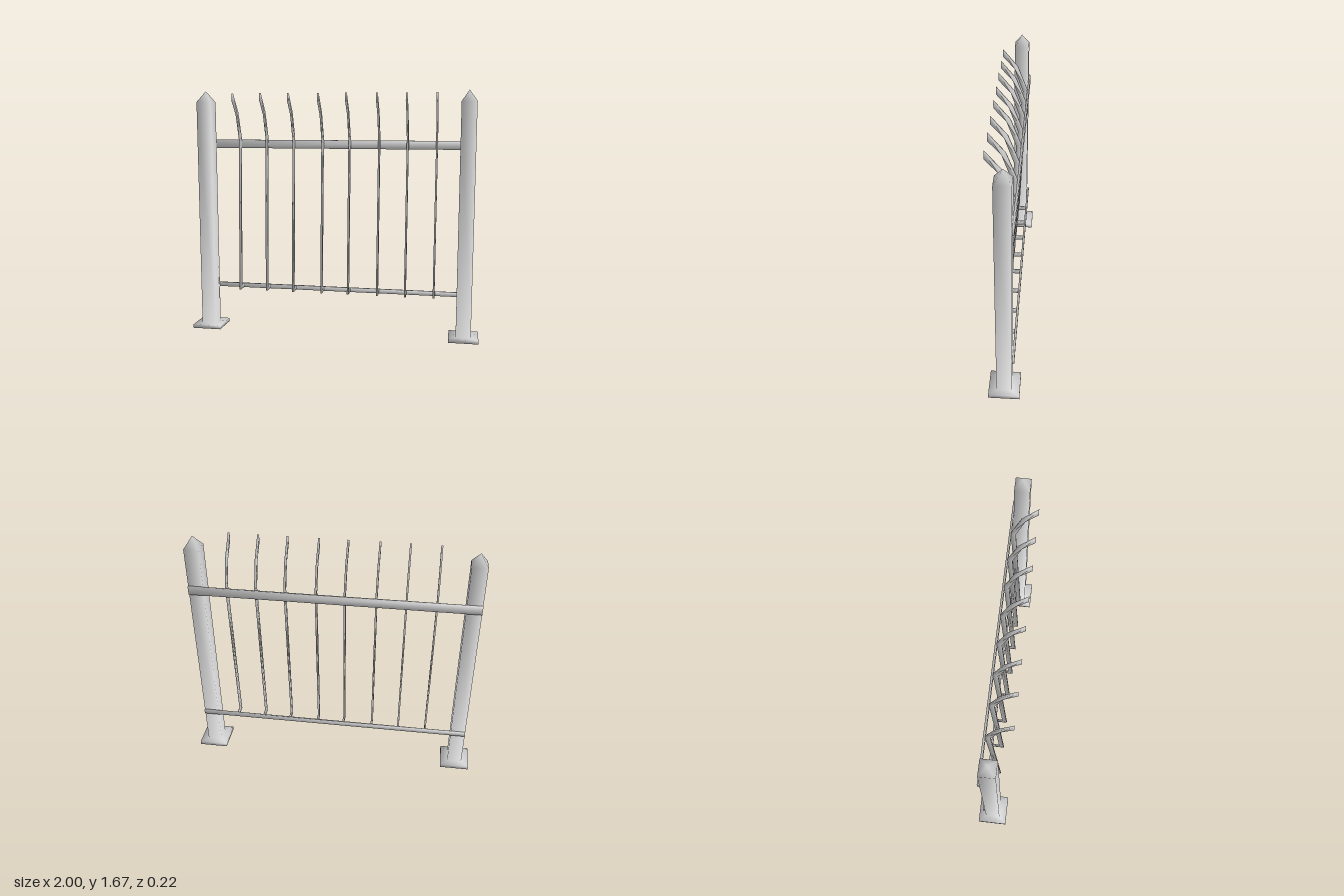
import * as THREE from 'three';
import { mergeVertices } from 'three/addons/utils/BufferGeometryUtils.js';

// Weld shared corners and average the face normals by corner angle,
// so shading runs softly over every edge.
function soften(geometry) {
  geometry.deleteAttribute('uv');
  geometry.deleteAttribute('normal');
  const welded = mergeVertices(geometry, 1e-4);
  const { position } = welded.attributes;
  const index = welded.index.array;
  const normals = Array.from({ length: position.count }, () => new THREE.Vector3());
  for (let i = 0; i < index.length; i += 3) {
    const ids = [index[i], index[i + 1], index[i + 2]];
    const p = ids.map((id) => new THREE.Vector3().fromBufferAttribute(position, id));
    const face = p[1].clone().sub(p[0]).cross(p[2].clone().sub(p[0]));
    if (face.length() < 1e-9) continue;
    face.normalize();
    ids.forEach((id, k) => {
      const a = p[(k + 1) % 3].clone().sub(p[k]);
      const b = p[(k + 2) % 3].clone().sub(p[k]);
      normals[id].addScaledVector(face, a.angleTo(b));
    });
  }
  const flat = normals.flatMap((n) => n.normalize().toArray());
  welded.setAttribute('normal', new THREE.Float32BufferAttribute(flat, 3));
  return welded;
}

export function createModel() {
  const group = new THREE.Group();
  const metal = new THREE.MeshStandardMaterial({ color: 0xcccccc });
  metal.name = 'pale grey metal';

  const add = (name, geometry, x, y, z) => {
    const mesh = new THREE.Mesh(geometry, metal);
    mesh.name = name;
    mesh.position.set(x, y, z);
    group.add(mesh);
  };

  // Square posts in one piece with a foot plate and a pyramid tip
  const r = 0.0505 * Math.SQRT2;
  const foot = 0.1 * Math.SQRT2;
  const profile = [[0, 0], [foot, 0], [foot, 0.025], [r, 0.025], [r, 1.6], [0, 1.675]]
    .map(([x, y]) => new THREE.Vector2(x, y));
  const post = soften(new THREE.LatheGeometry(profile, 4, Math.PI / 4));
  add('leftPost', post, 0.9, 0, -0.01);
  add('rightPost', post, -0.9, 0, -0.01);

  // Flat rails across the back of the posts
  add('topRail', soften(new THREE.BoxGeometry(1.9, 0.058, 0.014)), 0, 1.311, -0.067);
  add('bottomRail', soften(new THREE.BoxGeometry(1.9, 0.03, 0.014)), 0, 0.293, -0.067);

  // Bent pickets: side outline (z, y) with a foot hook and a forward-leaning tip
  const outline = [
    [-0.06, 0.28], [0.02, 0.28], [-0.03, 1.345], [0.03, 1.515], [0.11, 1.605],
    [0.11, 1.655], [0.005, 1.53], [-0.062, 1.355], [-0.012, 0.31], [-0.06, 0.31],
  ].map(([z, y]) => new THREE.Vector2(z, y));
  const bar = new THREE.ExtrudeGeometry(new THREE.Shape(outline), { depth: 0.012, bevelEnabled: false });
  bar.translate(0, 0, -0.006);
  bar.rotateY(-Math.PI / 2);
  const picket = soften(bar);
  [-0.668, -0.474, -0.283, -0.08, 0.107, 0.31, 0.502, 0.696].forEach((x, i) => {
    add('picket' + (i + 1), picket, x, 0, 0);
  });

  return group;
}
